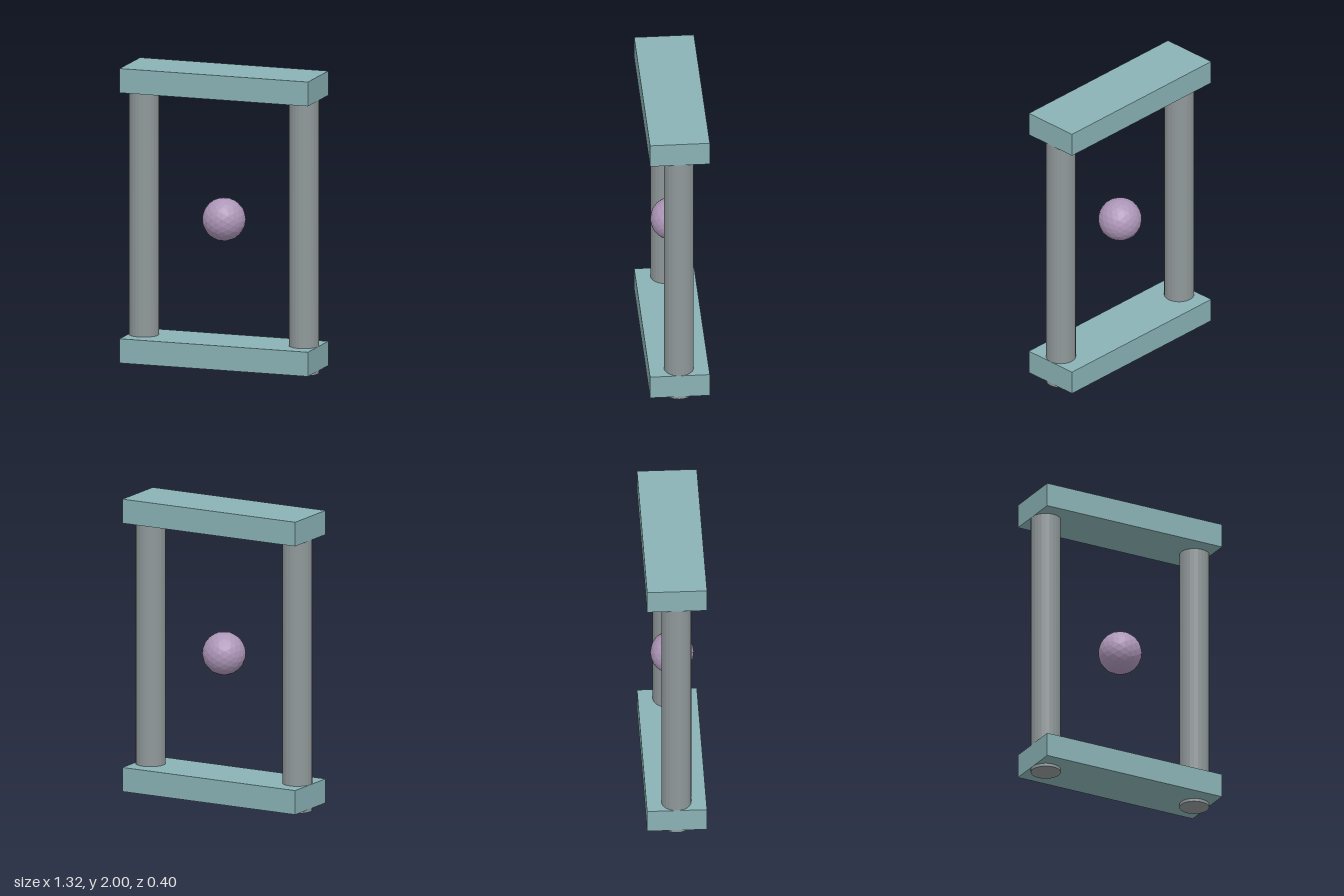
import * as THREE from 'three';

export function createModel() {
  const model = new THREE.Group();
  const material = (name, color) => {
    const m = new THREE.MeshStandardMaterial({ color });
    m.name = name;
    return m;
  };
  const teal = material('paleTeal', 0x8ab2b5);
  const grey = material('postGrey', 0x909899);
  const mauve = material('mauve', 0xad96b8);
  grey.flatShading = true;
  mauve.flatShading = true;

  const add = (name, geometry, mat, x, y, z = 0) => {
    const mesh = new THREE.Mesh(geometry, mat);
    mesh.name = name;
    mesh.position.set(x, y, z);
    model.add(mesh);
  };

  // Matching slabs at the bottom and top
  const slab = new THREE.BoxGeometry(1.32, 0.163, 0.395);
  add('bottomSlab', slab, teal, 0, 0.102);
  add('topSlab', slab, teal, 0, 1.918);

  // Round posts, poking slightly out below the bottom slab
  const post = new THREE.CylinderGeometry(0.099, 0.099, 1.98, 24);
  for (const side of [-1, 1]) {
    add(side > 0 ? 'leftPost' : 'rightPost', post, grey, side * 0.561, 0.99);
  }

  // Faceted ball floating in the middle of the frame
  add('ball', new THREE.IcosahedronGeometry(0.144, 3), mauve, 0, 0.995);

  return model;
}
